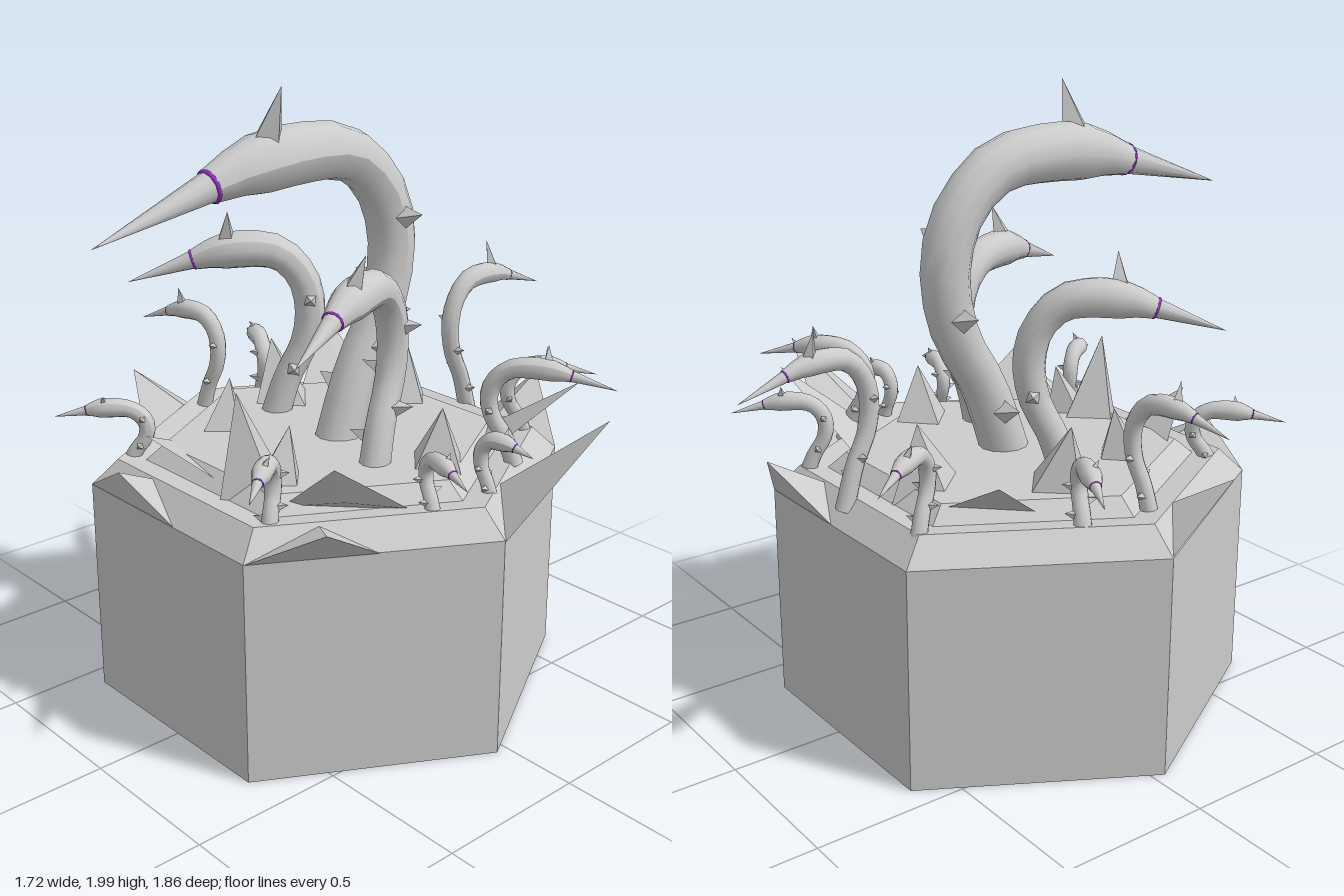
import * as THREE from 'three';
import { ConvexGeometry } from 'three/addons/geometries/ConvexGeometry.js';

const V = (x, y, z) => new THREE.Vector3(x, y, z);
const smooth = new THREE.MeshStandardMaterial({ color: 0xcccccc, side: THREE.DoubleSide });
const flat = new THREE.MeshStandardMaterial({ color: 0xcccccc, flatShading: true, side: THREE.DoubleSide });
const purple = new THREE.MeshStandardMaterial({ color: 0x9933cc });

function add(parent, name, geometry, material) {
  const mesh = new THREE.Mesh(geometry, material);
  mesh.name = name;
  parent.add(mesh);
  return mesh;
}

// Cone from a base centre to a tip
function cone(parent, name, base, tip, radius, sides, material) {
  const dir = tip.clone().sub(base);
  const mesh = add(parent, name, new THREE.ConeGeometry(radius, dir.length(), sides), material);
  mesh.position.copy(base).addScaledVector(dir, 0.5);
  mesh.quaternion.setFromUnitVectors(V(0, 1, 0), dir.normalize());
}

// Arched neck profile: [share of reach, share of height]
const ARCH = [[0.27, -0.04], [0.18, 0.24], [0.09, 0.42], [0.06, 0.61], [0.1, 0.77],
  [0.22, 0.895], [0.39, 0.92], [0.56, 0.9], [0.66, 0.87]];
// Thickness along the neck
const GIRTH = [1, 0.95, 0.9, 0.95, 1, 1, 1.15, 1.2, 0.65];

// Tentacle arching from the back of its bend (x0, z0) to its beak tip (x1, z1)
function tentacle(parent, name, [x0, z0, x1, z1, top, floor, r]) {
  const group = new THREE.Group();
  group.name = name;
  parent.add(group);
  const at = (u, v) => V(x0 + (x1 - x0) * u, floor + (top - floor) * v, z0 + (z1 - z0) * u);
  const curve = new THREE.CatmullRomCurve3(ARCH.map(([u, v]) => at(u, v)));
  const side = V(z1 - z0, 0, x0 - x1).normalize();

  // Neck: a tube whose rings are scaled by the girth profile
  const segs = 18, radial = 12;
  const tube = new THREE.TubeGeometry(curve, segs, r, radial);
  const pos = tube.attributes.position, p = V(0, 0, 0);
  for (let i = 0; i <= segs; i++) {
    const centre = curve.getPointAt(i / segs);
    const g = (i / segs) * (GIRTH.length - 1), k = Math.min(Math.floor(g), GIRTH.length - 2);
    const s = THREE.MathUtils.lerp(GIRTH[k], GIRTH[k + 1], g - k);
    for (let j = 0; j <= radial; j++) {
      const n = i * (radial + 1) + j;
      p.fromBufferAttribute(pos, n).sub(centre).multiplyScalar(s).add(centre);
      pos.setXYZ(n, p.x, p.y, p.z);
    }
  }
  tube.computeVertexNormals();
  add(group, 'neck', tube, smooth);

  // Beak with a coloured collar
  const end = curve.getPointAt(1), tip = at(1, 0.76);
  cone(group, 'beak', end, tip, r * 0.6, 10, smooth);
  const ring = add(group, 'collar', new THREE.TorusGeometry(r * 0.58, r * 0.1, 6, 16), purple);
  ring.position.copy(end);
  ring.quaternion.setFromUnitVectors(V(0, 0, 1), tip.clone().sub(end).normalize());

  // Horn on the head and thorns on the flanks
  cone(group, 'horn', at(0.49, 0.94), at(0.48, 1.127).addScaledVector(side, r * 0.85), r * 0.8, 4, flat);
  [[0.14, -1], [0.24, 1], [0.36, -1], [0.5, 1]].forEach(([t, s]) => {
    const c = curve.getPointAt(t);
    const out = c.clone().addScaledVector(side, s * r * 1.9).add(V(0, r * 0.3, 0));
    cone(group, 'thorn', c.addScaledVector(side, s * r * 0.6), out, r * 0.6, 4, flat);
  });
}

export function createModel() {
  const model = new THREE.Group();

  // Six-sided pedestal with a stepped rim
  const profile = [[0, 0], [0.775, 0], [0.775, 0.72], [0.69, 0.8], [0.6, 0.79], [0.54, 0.84], [0, 0.84]];
  const base = add(model, 'pedestal', new THREE.LatheGeometry(
    profile.map(([x, y]) => new THREE.Vector2(x, y)), 6, Math.PI / 6), flat);
  base.position.set(-0.03, 0, 0.04);

  // Shards on the outer rim: two points on the edge, then the tip
  const outer = [
    [-0.42, 0.71, 0.02, 0.71, -0.2, 0.84, 0.75],
    [0.36, 0.71, 0.56, 0.37, 0.58, 0.85, 0.59],
    [0.75, 0.04, 0.54, -0.32, 0.86, 1.05, -0.27],
    [0.36, -0.63, 0.0, -0.63, 0.15, 0.91, -0.76],
    [-0.8, 0.04, -0.61, 0.37, -0.8, 0.91, 0.28],
  ];
  // Leaning shards on the inner rim
  const inner = [
    [-0.44, -0.17, -0.24, -0.4, -0.63, 1.0, -0.46],
    [0.4, -0.17, 0.2, -0.38, 0.58, 1.05, -0.47],
    [-0.37, 0.38, 0.02, 0.5, -0.16, 0.95, 0.67],
    [0.5, 0.2, 0.24, 0.47, 0.51, 1.0, 0.5],
  ];
  const shard = (name, [ax, az, bx, bz, x, y, z], foot, k) => {
    const mid = V((ax + bx) / 2 * k, foot + 0.06, (az + bz) / 2 * k);
    add(model, name, new ConvexGeometry([V(ax, foot, az), V(bx, foot, bz), mid, V(x, y, z)]), flat);
  };
  outer.forEach(s => shard('outerShard', s, 0.72, 0.85));
  inner.forEach(s => shard('innerShard', s, 0.79, 1.2));

  // Crystals standing on the top: x, z, tip height, radius, lean of the tip in x and z
  [
    [-0.38, -0.05, 1.04, 0.13, -0.06, 0], [0.38, -0.04, 1.02, 0.12, 0.02, 0],
    [-0.3, 0.27, 1.0, 0.1, 0, -0.03], [0.16, 0.42, 1.0, 0.1, 0, -0.05],
    [-0.12, -0.36, 1.03, 0.13, 0, -0.03], [0.08, 0.46, 1.11, 0.12, -0.01, 0.04],
  ].forEach(([x, z, y, r, lx, lz]) =>
    cone(model, 'crystal', V(x, 0.8, z), V(x + lx, y, z + lz), r, 4, flat));

  // Tentacles: bend x, z, beak tip x, z, top, floor, thickness
  tentacle(model, 'mainTentacle', [0, -0.27, 0, 0.93, 1.86, 0.8, 0.08]);
  tentacle(model, 'rightTentacle', [-0.22, -0.09, -0.6, 0.42, 1.45, 0.8, 0.052]);
  tentacle(model, 'leftTentacle', [0.19, -0.05, 0.46, 0.6, 1.46, 0.8, 0.052]);
  [
    [-0.01, -0.46, -0.01, -0.93, 1.29, 0.78, 0.031],
    [-0.31, -0.47, -0.48, -0.76, 1.06, 0.78, 0.026],
    [0.25, -0.47, 0.44, -0.73, 1.04, 0.78, 0.026],
    [0.38, -0.23, 0.73, -0.47, 1.14, 0.8, 0.03],
    [-0.52, -0.09, -0.82, -0.24, 1.0, 0.78, 0.028],
    [-0.53, 0.09, -0.86, 0.19, 1.16, 0.78, 0.028],
    [0.5, 0.14, 0.75, 0.21, 0.97, 0.78, 0.024],
    [0.54, -0.05, 0.72, -0.1, 0.98, 0.78, 0.024],
    [-0.34, 0.52, -0.56, 0.75, 0.97, 0.76, 0.027],
    [0.27, 0.52, 0.44, 0.75, 1.0, 0.76, 0.027],
  ].forEach(t => tentacle(model, 'smallTentacle', t));

  return model;
}
